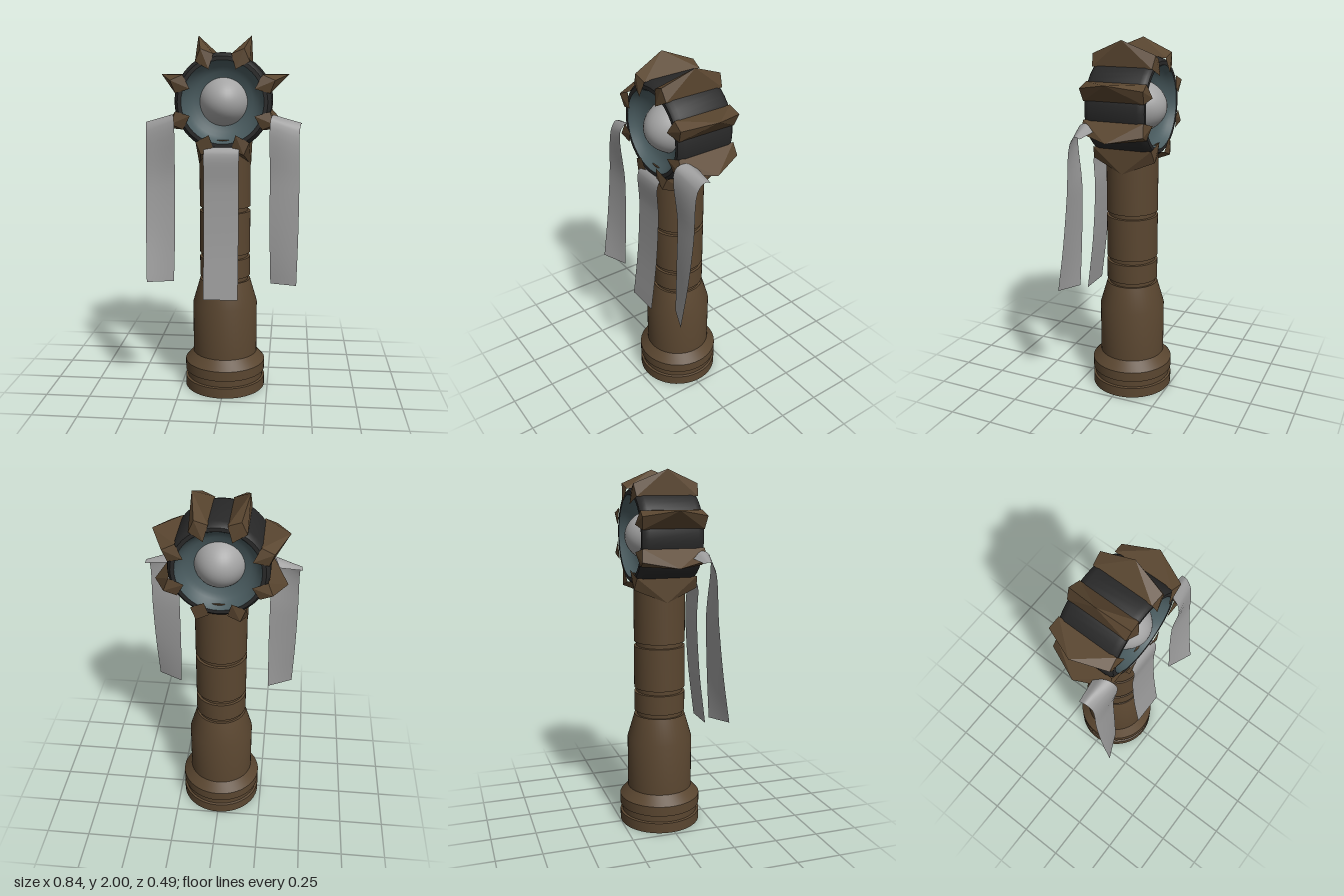
import * as THREE from 'three';
import { toCreasedNormals } from 'three/addons/utils/BufferGeometryUtils.js';

const mat = (name, color, side = THREE.FrontSide) => {
  const m = new THREE.MeshStandardMaterial({ color, side });
  m.name = name;
  return m;
};

const lathe = (pts, segments = 48) =>
  toCreasedNormals(new THREE.LatheGeometry(pts.map(p => new THREE.Vector2(...p)), segments), 0.5);

// Faceted claw: x across, y outward from the drum, z along its axis
function clawGeometry() {
  const C = [0, 0.379, 0];
  const E = s => [0, 0.3, 0.177 * s];
  const T = s => [0, 0.185, 0.185 * s];
  const B = s => [0.052, 0.25, 0.168 * s];
  const half = [
    [C, B(1), B(-1)], [C, E(1), B(1)], [C, B(-1), E(-1)],
    [E(1), T(1), B(1)], [E(-1), B(-1), T(-1)],
  ];
  const pos = [];
  for (const [a, b, c] of half) {
    pos.push(...a, ...b, ...c);
    for (const [x, y, z] of [a, c, b]) pos.push(-x, y, z);
  }
  const g = new THREE.BufferGeometry();
  g.setAttribute('position', new THREE.Float32BufferAttribute(pos, 3));
  g.computeVertexNormals();
  return g;
}

// Cloth strip ruled between two edge curves
function ribbonGeometry(left, right, rows = 32, cols = 4) {
  const [a, b] = [left, right].map(e => new THREE.CatmullRomCurve3(e.map(p => new THREE.Vector3(...p))));
  const g = new THREE.PlaneGeometry(1, 1, cols, rows);
  const pos = g.attributes.position;
  for (let j = 0; j <= rows; j++) {
    const p = a.getPoint(j / rows), q = b.getPoint(j / rows);
    for (let i = 0; i <= cols; i++) {
      const v = p.clone().lerp(q, i / cols);
      pos.setXYZ(j * (cols + 1) + i, v.x, v.y, v.z);
    }
  }
  g.computeVertexNormals();
  return g;
}

export function createModel() {
  const model = new THREE.Group();
  model.name = 'spikedDrumPost';
  const wood = mat('brown wood', 0x5a4630);
  const black = mat('black iron', 0x282828);
  const teal = mat('dark teal dish', 0x4a5c60);
  const cloth = mat('grey cloth', 0x9c9c9c, THREE.DoubleSide);
  const orb = mat('pale grey lens', 0xa4a4a4);
  const add = (parent, name, geometry, material) => {
    const m = new THREE.Mesh(geometry, material);
    m.name = name;
    parent.add(m);
    return m;
  };
  const axisZ = -0.017;

  // Turned post with grooves
  const post = [[0, 0], [0.23, 0], [0.23, 0.058], [0.218, 0.062], [0.218, 0.098], [0.23, 0.102],
    [0.23, 0.158], [0.184, 0.21], [0.184, 0.505], [0.143, 0.645]];
  for (const y of [0.655, 0.79, 1.055])
    post.push([0.143, y - 0.013], [0.13, y - 0.011], [0.13, y + 0.011], [0.143, y + 0.013]);
  post.push([0.143, 1.45], [0, 1.45]);
  add(model, 'post', lathe(post), wood).position.z = axisZ;

  // Drum head
  const head = new THREE.Group();
  head.name = 'head';
  head.position.set(0, 1.65, axisZ);
  model.add(head);
  add(head, 'drum', lathe([[0.22, -0.168], [0.24, -0.168], [0.253, -0.155], [0.26, -0.133],
    [0.26, 0.133], [0.253, 0.155], [0.24, 0.168], [0.22, 0.168]]), black).rotation.x = Math.PI / 2;

  // Dishes on both faces, with a lens bulging through them
  const dish = lathe([[0.22, 0.168], [0.205, 0.14], [0.185, 0.118], [0.16, 0.102], [0.12, 0.09]]);
  for (const [name, s] of [['frontDish', 1], ['backDish', -1]])
    add(head, name, dish, teal).rotation.x = s * Math.PI / 2;
  add(head, 'lens', new THREE.SphereGeometry(1, 40, 28), orb).scale.set(0.147, 0.147, 0.192);

  // Ring of eight claws
  const claw = clawGeometry();
  for (let i = 0; i < 8; i++)
    add(head, 'claw' + (i + 1), claw, wood).rotation.z = (i + 0.5) * Math.PI / 4;

  // Hanging ribbons
  const middle = x => [[x, 1.41, 0.1], [x, 1.415, 0.145], [x, 1.38, 0.172], [x, 1.2, 0.17],
    [x, 0.9, 0.188], [x, 0.585, 0.227]];
  add(model, 'middleRibbon', ribbonGeometry(middle(-0.1), middle(0.09)), cloth);
  const inner = [[0.3, 1.55, 0.072], [0.272, 1.585, 0.125], [0.256, 1.56, 0.178], [0.256, 1.25, 0.163],
    [0.258, 0.95, 0.17], [0.266, 0.675, 0.182]];
  const outer = [[0.422, 1.535, 0.085], [0.418, 1.542, 0.115], [0.41, 1.5, 0.15], [0.413, 1.22, 0.173],
    [0.412, 0.95, 0.203], [0.406, 0.683, 0.245]];
  const flip = e => e.map(([x, y, z]) => [-x, y, z]);
  add(model, 'leftRibbon', ribbonGeometry(inner, outer), cloth);
  add(model, 'rightRibbon', ribbonGeometry(flip(outer), flip(inner)), cloth);
  return model;
}
